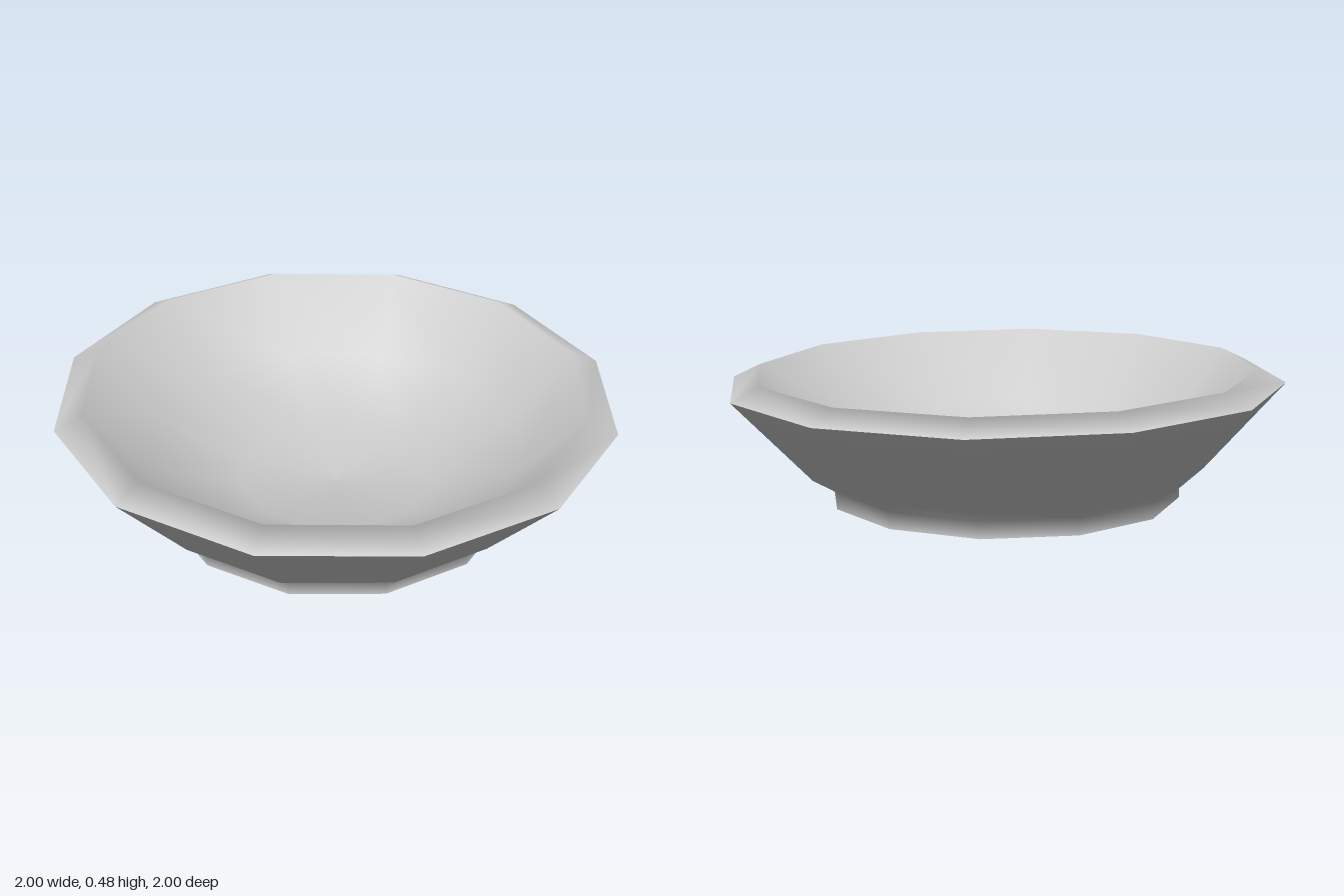
import * as THREE from 'three';

const SIDES = 12;

export function createModel() {
  const group = new THREE.Group();
  const material = new THREE.MeshStandardMaterial({ color: 0xcccccc });

  // Turns a profile of [radius, height] points; the rim dips slightly toward +x
  function turned(name, profile) {
    const points = profile.map(([r, y]) => new THREE.Vector2(r, y));
    const geometry = new THREE.LatheGeometry(points, SIDES);
    const pos = geometry.attributes.position;
    for (let i = 0; i < pos.count; i++) {
      const lift = Math.max(0, pos.getY(i) - 0.11) / 0.31;
      pos.setY(i, pos.getY(i) - 0.0125 * Math.min(1, lift) * pos.getX(i));
    }
    const mesh = new THREE.Mesh(geometry, material);
    mesh.name = name;
    group.add(mesh);
  }

  // Flat underside
  turned('base', [[0, 0], [0.635, 0]]);

  // Foot ring, low shoulder and flaring outer wall, smoothed together
  turned('footAndOuterWall', [[0.635, 0], [0.635, 0.06], [0.72, 0.11], [1, 0.417]]);

  // Sloping lip and rounded basin
  turned('lipAndBasin', [[1, 0.417], [0.9, 0.465], [0.69, 0.22], [0.35, 0.08], [0, 0.05]]);

  return group;
}
